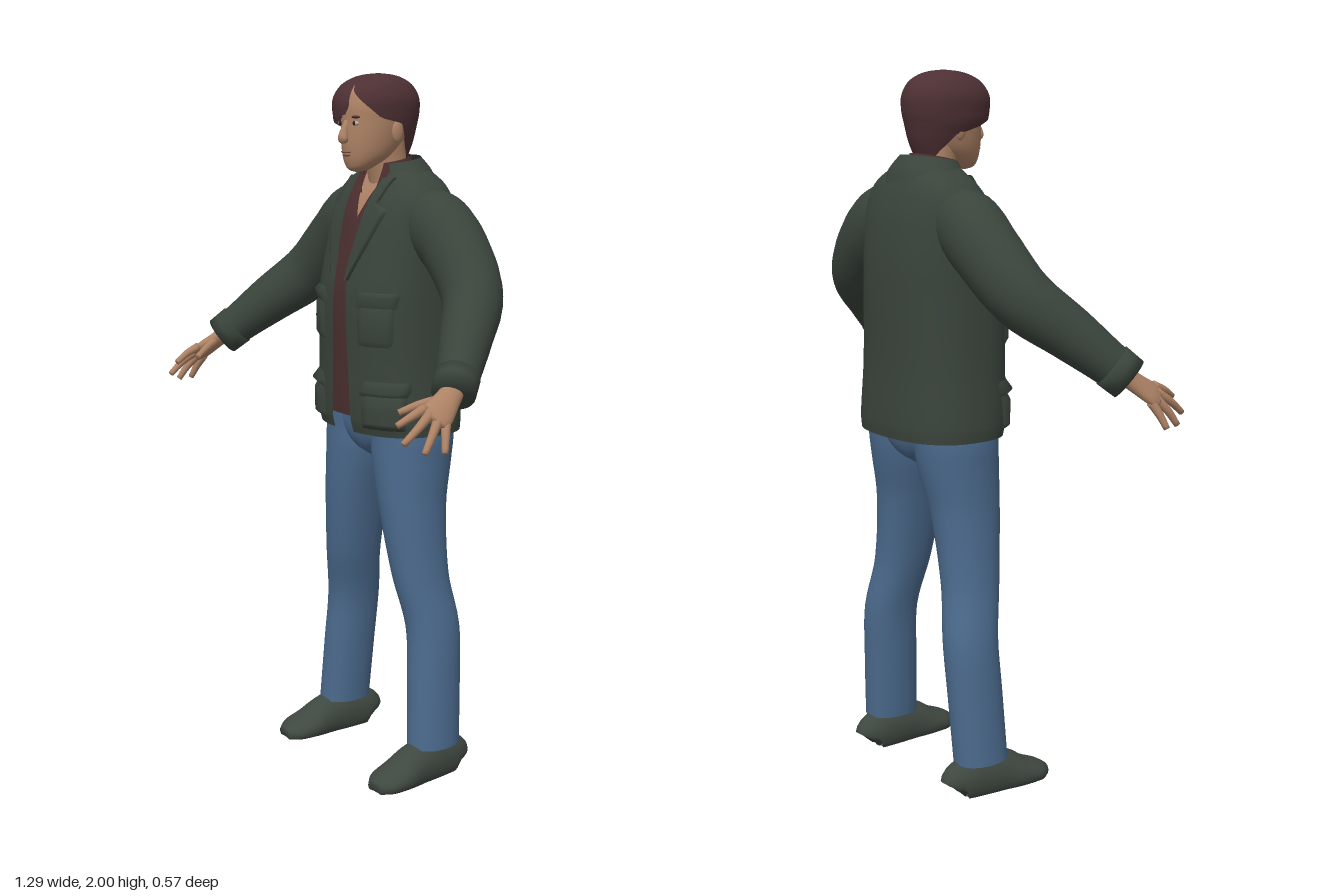
import * as THREE from 'three';
import { mergeVertices } from 'three/addons/utils/BufferGeometryUtils.js';

const TAU = Math.PI * 2;
const mat = (name, color, side = THREE.DoubleSide) => {
  const m = new THREE.MeshStandardMaterial({ color, side });
  m.name = name;
  return m;
};

// Smooth interpolation of table rows by their first column
function at(rows, y) {
  let i = 0;
  while (i < rows.length - 2 && y > rows[i + 1][0]) i++;
  const a = rows[i], b = rows[i + 1], p = rows[Math.max(i - 1, 0)], q = rows[Math.min(i + 2, rows.length - 1)];
  const h = b[0] - a[0], t = Math.min(1, Math.max(0, (y - a[0]) / h));
  return a.map((v, k) => {
    const m0 = (b[k] - p[k]) / (b[0] - p[0]) * h, m1 = (q[k] - v) / (q[0] - a[0]) * h;
    const t2 = t * t, t3 = t2 * t;
    return (2 * t3 - 3 * t2 + 1) * v + (t3 - 2 * t2 + t) * m0 + (3 * t2 - 2 * t3) * b[k] + (t3 - t2) * m1;
  });
}
const lin = (tab, y) => {
  let i = 0;
  while (i < tab.length - 2 && y > tab[i + 1][0]) i++;
  const [a, b] = [tab[i], tab[i + 1]];
  return THREE.MathUtils.lerp(a[1], b[1], THREE.MathUtils.clamp((y - a[0]) / (b[0] - a[0]), 0, 1));
};

// Grid of points, (s, t) in 0..1, joined into one smooth surface
function surface(nu, nv, point) {
  const pos = [], idx = [], w = nu + 1;
  for (let j = 0; j <= nv; j++) for (let i = 0; i <= nu; i++) pos.push(...point(i / nu, j / nv, j));
  for (let j = 0; j < nv; j++) for (let i = 0; i < nu; i++) {
    const a = j * w + i;
    idx.push(a, a + 1, a + w + 1, a, a + w + 1, a + w);
  }
  let g = new THREE.BufferGeometry();
  g.setAttribute('position', new THREE.Float32BufferAttribute(pos, 3));
  g.setIndex(idx);
  g = mergeVertices(g, 1e-5);
  g.computeVertexNormals();
  return g;
}

// Upright shell from rows [y, cx, cz, rx, rz]; angles run from the front towards +x
const pw = (v, p) => Math.sign(v) * Math.abs(v) ** p;
function shell(rows, { y0 = rows[0][0], y1 = rows.at(-1)[0], a0 = () => 0, a1 = () => TAU, off = () => 0, p = 1, nu = 36, tilt = 0 } = {}) {
  const ys = [y0];
  for (let i = 0; i < rows.length - 1; i++) for (let k = 1; k <= 5; k++) {
    const y = THREE.MathUtils.lerp(rows[i][0], rows[i + 1][0], k / 5);
    if (y > y0 + 1e-4 && y < y1 - 1e-4) ys.push(y);
  }
  ys.push(y1);
  return surface(nu, ys.length - 1, (s, t, j) => {
    const y = ys[j], [, cx, cz, rx, rz] = at(rows, y);
    const a = THREE.MathUtils.lerp(a0(y), a1(y), s), o = off(s, (y - y0) / (y1 - y0));
    const z = cz + (Math.max(rz, 0) + o) * pw(Math.cos(a), p);
    return [cx + (Math.max(rx, 0) + o) * pw(Math.sin(a), p), y + tilt * (z + 0.12), z];
  });
}

// Closed limb along rows [x, y, z, ru, rv]; ru is measured along ref
function sweep(rows, ref, nu = 16, sub = 4) {
  const tab = rows.map((r, i) => [i, ...r]), n = (rows.length - 1) * sub;
  const centre = k => new THREE.Vector3(...at(tab, THREE.MathUtils.clamp(k / sub, 0, rows.length - 1)).slice(1, 4));
  return surface(nu, n + 2, (s, t, j) => {
    const k = THREE.MathUtils.clamp(j - 1, 0, n), r = at(tab, k / sub), c = centre(k);
    const dir = centre(k + 0.5).sub(centre(k - 0.5)).normalize();
    const u = ref.clone().addScaledVector(dir, -ref.dot(dir)).normalize();
    const v = dir.clone().cross(u), e = j === 0 || j === n + 2 ? 0 : 1;
    return c.addScaledVector(u, e * r[4] * Math.cos(s * TAU)).addScaledVector(v, e * r[5] * Math.sin(s * TAU)).toArray();
  });
}

function mirrored(g) {
  const m = g.clone().scale(-1, 1, 1), ix = m.index.array;
  for (let i = 0; i < ix.length; i += 3) [ix[i], ix[i + 1]] = [ix[i + 1], ix[i]];
  m.computeVertexNormals();
  return m;
}
const blob = (x, y, z, sx, sy, sz) => new THREE.SphereGeometry(1, 16, 12).scale(sx, sy, sz).translate(x, y, z);

export function createModel() {
  const root = new THREE.Group();
  root.name = 'standingMan';
  const M = {
    jacket: mat('jacketGreen', 0x3a443b), jeans: mat('jeansBlue', 0x4b6a8d), skin: mat('skinTan', 0xad8265),
    hair: mat('hairBrown', 0x4d3033), shirt: mat('shirtRed', 0x4c2f2f), shoe: mat('shoeGreen', 0x3f4840),
    lip: mat('lipBrown', 0x8f6151), white: mat('eyeWhite', 0xb5aca2), dark: mat('eyeDark', 0x2a1f1c),
  };
  const add = (name, g, m) => {
    const mesh = new THREE.Mesh(g, m);
    mesh.name = name;
    root.add(mesh);
  };
  const pair = (name, g, m) => {
    add('left' + name, g, m);
    add('right' + name, mirrored(g), m);
  };

  // Torso: one profile shared by jacket, shirt, chest and pockets
  const P = 0.8;
  const torso = [
    [1.012, 0, -0.115, 0.224, 0.162], [1.05, 0, -0.112, 0.226, 0.168], [1.2, 0, -0.107, 0.215, 0.167],
    [1.4, 0, -0.106, 0.208, 0.168], [1.5, 0, -0.115, 0.205, 0.157], [1.6, 0, -0.122, 0.203, 0.138],
    [1.66, 0, -0.126, 0.198, 0.118], [1.7, 0, -0.13, 0.172, 0.098], [1.73, 0, -0.13, 0.125, 0.08], [1.75, 0, -0.125, 0.088, 0.068]];
  const ang = (y, x) => Math.asin(Math.min(1, x / at(torso, y)[3]) ** (1 / P));
  const gap = y => lin([[1.01, 0.046], [1.2, 0.036], [1.43, 0.028], [1.5, 0.036], [1.6, 0.05], [1.75, 0.07]], y);
  add('jacketBody', shell(torso, { p: P, nu: 64, a0: y => ang(y, gap(y)), a1: y => TAU - ang(y, gap(y)) }), M.jacket);
  const neckline = y => ang(y, lin([[1.61, 0], [1.64, 0.014], [1.74, 0.055]], y));
  add('shirt', shell(torso, { y0: 1.055, y1: 1.74, p: P, nu: 48, off: () => -0.012, a0: neckline, a1: y => TAU - neckline(y) }), M.shirt);
  add('chest', shell(torso, { y0: 1.55, p: P, off: () => -0.02, a0: () => -1.2, a1: () => 1.2 }), M.skin);

  // Raised panels on the jacket, sunk in at their edges
  const panel = (y0, y1, x0, x1, h) => shell(torso, {
    y0, y1, p: P, nu: 14, a0: y => ang(y, x0(y)), a1: y => ang(y, x1(y)),
    off: (s, t) => -0.002 + (h + 0.002) * Math.min(1, 7 * Math.min(s, 1 - s), 9 * Math.min(t, 1 - t)),
  });
  const k = v => () => v;
  pair('ChestPocket', panel(1.26, 1.38, k(0.075), k(0.18), 0.008), M.jacket);
  pair('ChestPocketFlap', panel(1.36, 1.415, k(0.068), k(0.187), 0.014), M.jacket);
  pair('HipPocket', panel(1.03, 1.14, k(0.085), k(0.205), 0.012), M.jacket);
  pair('HipPocketFlap', panel(1.12, 1.17, k(0.08), k(0.208), 0.018), M.jacket);
  const lapelEdge = y => lin([[1.44, 0.034], [1.55, 0.09], [1.635, 0.125], [1.645, 0.085], [1.72, 0.1]], y);
  pair('Lapel', shell(torso, { y0: 1.44, y1: 1.72, p: P, nu: 10, a0: y => ang(y, gap(y) - 0.004), a1: y => ang(y, lapelEdge(y)), off: s => 0.011 * Math.min(1, 6 * (1 - s)) }), M.jacket);

  // Collars
  const collarRows = [[1.685, 0, -0.128, 0.142, 0.106], [1.725, 0, -0.126, 0.122, 0.094], [1.765, 0, -0.12, 0.088, 0.074]];
  add('jacketCollar', shell(collarRows, { a0: k(0.72), a1: k(TAU - 0.72), tilt: -0.15 }), M.jacket);
  const shirtCollar = [[1.69, 0, -0.11, 0.092, 0.08], [1.73, 0, -0.108, 0.078, 0.072], [1.77, 0, -0.105, 0.064, 0.064]];
  add('shirtCollar', shell(shirtCollar, { a0: y => lin([[1.69, 0.3], [1.77, 0.75]], y), a1: y => TAU - lin([[1.69, 0.3], [1.77, 0.75]], y), tilt: -0.2 }), M.shirt);

  // Sleeves and cuffs
  const up = new THREE.Vector3(0, 1, 0);
  pair('Sleeve', sweep([
    [0.11, 1.6, -0.13, 0.075, 0.075], [0.19, 1.592, -0.13, 0.098, 0.09], [0.28, 1.525, -0.13, 0.094, 0.09],
    [0.385, 1.42, -0.1, 0.085, 0.082], [0.47, 1.33, -0.01, 0.072, 0.07], [0.53, 1.26, 0.06, 0.06, 0.059], [0.567, 1.215, 0.105, 0.055, 0.053]], up, 24, 5), M.jacket);
  pair('Cuff', sweep([[0.54, 1.248, 0.073, 0.062, 0.06], [0.569, 1.212, 0.108, 0.06, 0.057]], up, 24, 2), M.jacket);

  // Hands: flat palm, four fingers and a thumb
  const across = new THREE.Vector3(-0.045, 0.035, 0.055);
  pair('Palm', sweep([[0.562, 1.222, 0.1, 0.029, 0.024], [0.574, 1.197, 0.133, 0.034, 0.021], [0.587, 1.17, 0.172, 0.042, 0.018], [0.594, 1.156, 0.192, 0.034, 0.012]], across), M.skin);
  const fingers = {
    Index: [[0.568, 1.186, 0.195], [0.567, 1.17, 0.235], [0.557, 1.148, 0.275]],
    Middle: [[0.582, 1.172, 0.192], [0.592, 1.142, 0.237], [0.59, 1.108, 0.28]],
    Ring: [[0.596, 1.16, 0.176], [0.612, 1.124, 0.208], [0.62, 1.084, 0.236]],
    Little: [[0.602, 1.152, 0.157], [0.62, 1.118, 0.172], [0.635, 1.082, 0.185]],
    Thumb: [[0.56, 1.2, 0.142], [0.532, 1.188, 0.185], [0.506, 1.168, 0.232]],
  };
  for (const [name, pts] of Object.entries(fingers)) {
    pair(name + 'Finger', sweep(pts.map((q, i) => [...q, 0.0135 - i * 0.0025, 0.0135 - i * 0.0025]), across, 10), M.skin);
  }

  // Jeans
  add('jeansHips', shell([[0.925, 0, -0.11, 0.02, 0.06], [0.95, 0, -0.112, 0.09, 0.095], [1.0, 0, -0.113, 0.195, 0.116], [1.06, 0, -0.113, 0.205, 0.12], [1.1, 0, -0.113, 0.2, 0.12]], { p: 0.9 }), M.jeans);
  pair('JeansLeg', shell([
    [0.1, 0.225, -0.11, 0.062, 0.081], [0.3, 0.211, -0.12, 0.065, 0.081], [0.45, 0.197, -0.125, 0.067, 0.081], [0.6, 0.166, -0.103, 0.071, 0.085],
    [0.8, 0.134, -0.097, 0.086, 0.1], [0.93, 0.115, -0.107, 0.104, 0.115], [1.0, 0.111, -0.112, 0.109, 0.119], [1.08, 0.105, -0.112, 0.105, 0.12]], { p: 0.93, nu: 28 }), M.jeans);

  // Shoes with a flattened sole and a heel patch
  const shoe = sweep([[-0.196, 0.03, 0.07], [-0.18, 0.046, 0.105], [-0.11, 0.053, 0.125], [-0.04, 0.056, 0.112], [0.02, 0.062, 0.078], [0.075, 0.056, 0.055], [0.108, 0.028, 0.035]]
    .map(([z, w, h]) => [0.23 + z * 0.06, h * 0.4, z, w, h * 0.6]), new THREE.Vector3(1, 0, 0), 28, 5);
  const sp = shoe.attributes.position;
  for (let i = 0; i < sp.count; i++) sp.setY(i, Math.max(sp.getY(i), 0.005));
  shoe.computeVertexNormals();
  pair('Shoe', shoe, M.shoe);
  pair('HeelPatch', new THREE.CylinderGeometry(0.03, 0.03, 0.006, 20).scale(0.8, 1, 1.4).translate(0.222, 0.003, -0.125), M.jeans);

  // Head and neck
  add('neck', shell([[1.6, 0, -0.125, 0.075, 0.06], [1.7, 0, -0.112, 0.06, 0.06], [1.76, 0, -0.098, 0.054, 0.06], [1.83, 0, -0.085, 0.056, 0.06]]), M.skin);
  add('face', shell([
    [1.732, 0, 0, 0, 0], [1.738, 0, -0.003, 0.022, 0.025], [1.752, 0, -0.012, 0.042, 0.044], [1.78, 0, -0.035, 0.062, 0.074],
    [1.82, 0, -0.05, 0.074, 0.092], [1.87, 0, -0.06, 0.081, 0.1], [1.92, 0, -0.065, 0.081, 0.102], [1.965, 0, -0.07, 0.062, 0.08], [1.985, 0, -0.07, 0, 0]]), M.skin);
  add('nose', sweep([[0, 1.872, 0.034, 0.008, 0.008], [0, 1.845, 0.044, 0.011, 0.012], [0, 1.825, 0.048, 0.016, 0.014], [0, 1.816, 0.042, 0.012, 0.008]], new THREE.Vector3(1, 0, 0), 14), M.skin);
  add('upperLip', blob(0, 1.789, 0.038, 0.022, 0.004, 0.008), M.lip);
  add('lowerLip', blob(0, 1.781, 0.036, 0.018, 0.005, 0.008), M.lip);
  pair('Eye', blob(0.034, 1.866, 0.03, 0.014, 0.006, 0.006), M.white);
  pair('Iris', blob(0.033, 1.866, 0.034, 0.006, 0.006, 0.004), M.dark);
  pair('Brow', blob(0.035, 1.883, 0.031, 0.019, 0.004, 0.007).rotateZ(0), M.hair);
  pair('Ear', blob(0.083, 1.843, -0.075, 0.009, 0.03, 0.018), M.skin);

  // Swept hair: open over the face, fringe falling to the right side
  const hairRows = [
    [1.765, -0.003, -0.095, 0.058, 0.062], [1.81, -0.005, -0.078, 0.077, 0.1], [1.86, -0.007, -0.068, 0.094, 0.123], [1.89, -0.007, -0.068, 0.098, 0.13],
    [1.93, -0.007, -0.068, 0.098, 0.13], [1.965, -0.007, -0.07, 0.082, 0.11], [1.985, -0.007, -0.072, 0.058, 0.08], [1.996, -0.007, -0.074, 0.03, 0.042], [2, -0.007, -0.075, 0, 0]];
  const start = [[1.765, 2.3], [1.8, 1.95], [1.865, 1.75], [1.88, 1.2], [1.915, 0.85], [1.95, 0.5], [1.97, 0.42]];
  const end = [[1.765, -2.3], [1.8, -1.95], [1.832, -1.7], [1.845, -1.2], [1.86, -0.85], [1.876, -0.15], [1.89, 0.3], [1.91, 0.42]];
  add('hair', shell(hairRows, { nu: 56, a0: y => lin(start, y), a1: y => TAU + lin(end, y) }), M.hair);
  return root;
}
